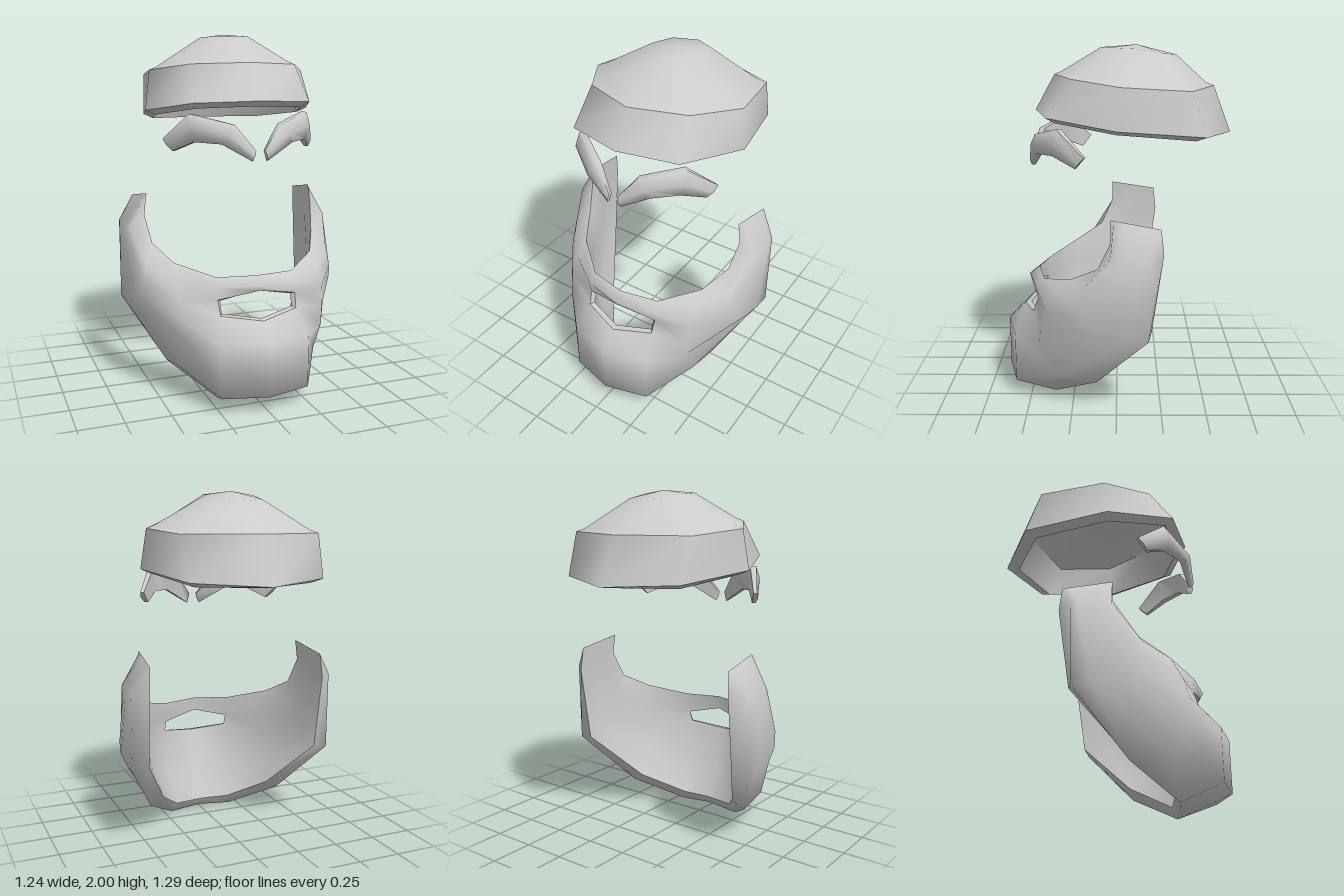
import * as THREE from 'three';
import { toCreasedNormals } from 'three/addons/utils/BufferGeometryUtils.js';

const material = new THREE.MeshStandardMaterial({ color: 0xcccccc });
const V = (p) => new THREE.Vector3(...p);
const SMOOTH = Math.PI;

// Quads between successive closed sections; keep(k, j) chooses which are made
function loft(sections, keep = () => true) {
  const quads = [];
  for (let k = 0; k < sections.length - 1; k++) {
    const s = sections[k], t = sections[k + 1], n = s.length;
    for (let j = 0; j < n; j++) {
      const m = (j + 1) % n;
      if (keep(k, j)) quads.push([s[j], s[m], t[m], t[j]]);
    }
  }
  return quads;
}

// Polygons of the x > 0 half, repeated with reversed winding on the other side
const mirror = (polys) =>
  polys.map((poly) => poly.map(([x, y, z]) => [-x, y, z]).reverse());

function toMesh(name, polys, crease) {
  const pos = [];
  for (const poly of polys) {
    for (let i = 1; i < poly.length - 1; i++) {
      const [a, b, c] = [poly[0], poly[i], poly[i + 1]];
      const area = V(b).sub(V(a)).cross(V(c).sub(V(a))).length();
      if (area > 1e-7) pos.push(...a, ...b, ...c);
    }
  }
  const geo = new THREE.BufferGeometry();
  geo.setAttribute('position', new THREE.Float32BufferAttribute(pos, 3));
  const mesh = new THREE.Mesh(toCreasedNormals(geo, crease), material);
  mesh.name = name;
  return mesh;
}

function toGroup(name, meshes) {
  const group = new THREE.Group();
  group.name = name;
  return group.add(...meshes);
}

// Cap: eight-sided band, domed crown and hollow underside.
// Each half ring runs from the front round to the back.
function makeCap() {
  const ring = (half) => [
    ...half.map(([x, y, z]) => [-x, y, z]),
    ...half.slice(1, -1).reverse(),
  ];
  const shrink = (half, s, dy) =>
    half.map(([x, y, z]) => [x * s, y + dy, -0.09 + (z + 0.09) * s]);
  const point = (y) => Array.from({ length: 8 }, () => [0, y, -0.11]);

  const top = [[0, 1.838, 0.35], [0.3, 1.83, 0.24], [0.46, 1.8, -0.02], [0.4, 1.775, -0.39], [0, 1.775, -0.545]];
  const low = [[0, 1.64, 0.46], [0.33, 1.63, 0.375], [0.49, 1.58, 0], [0.385, 1.535, -0.475], [0, 1.515, -0.645]];
  const dome = [[0, 1.985, 0.09], [0.1, 1.985, 0.04], [0.14, 1.98, -0.1], [0.12, 1.955, -0.26], [0, 1.945, -0.33]];
  const innerLow = [[0, 1.61, 0.41], [0.3, 1.6, 0.33], [0.43, 1.555, 0], [0.34, 1.51, -0.42], [0, 1.505, -0.57]];
  const innerTop = ring(shrink(top, 0.87, -0.07));

  return toGroup('cap', [
    toMesh('crown', loft([point(2), ring(dome), ring(shrink(top, 0.9, 0.018)), ring(top)]), SMOOTH),
    toMesh('band', loft([ring(top), ring(low)]), SMOOTH),
    toMesh('rim', loft([ring(low), ring(innerLow)]), SMOOTH),
    toMesh('bandLining', loft([ring(innerLow), innerTop]), SMOOTH),
    toMesh('crownLining', loft([innerTop, ring(shrink(dome, 0.9, -0.07)), point(1.93)]), SMOOTH),
  ]);
}

// Eyebrow: arched strip with a softly rounded front
function browPolys() {
  const stations = [
    [[0.025, 1.385, 0.49], [0.042, 1.33, 0.485]],
    [[0.13, 1.518, 0.455], [0.2, 1.42, 0.445]],
    [[0.34, 1.572, 0.32], [0.32, 1.427, 0.345]],
    [[0.44, 1.435, 0.17], [0.4, 1.372, 0.22]],
  ];
  const sections = stations.map(([top, low], i) => {
    const t = V(top), l = V(low);
    const out = new THREE.Vector3(t.x, 0, t.z).normalize();
    const end = i % 3 === 0;
    const mid = t.clone().lerp(l, 0.5).addScaledVector(out, end ? 0.01 : 0.025);
    const back = (p) => p.clone().addScaledVector(out, end ? -0.02 : -0.035);
    return [t, mid, l, back(l), back(t)].map((p) => p.toArray());
  });
  return [...loft(sections), [...sections[0]].reverse(), sections[3]];
}

// Beard: each section runs down the outside, then back up the inside to the top edge.
// Rows: 0 top edge, 1 moustache, 2 hole top, 3 hole bottom, 4 chin, 5 jaw, 6 low edge,
// 7 inner low edge, 8 inner jaw, 9 inner hole bottom, 10 inner hole top
function makeBeard() {
  const centre = [[0, 0.71, 0.46], [0, 0.665, 0.52], [0, 0.635, 0.5], [0, 0.48, 0.55], [0, 0.385, 0.65], [0, 0.09, 0.65],
    [0, 0.015, 0.37], [0, 0.065, 0.34], [0, 0.25, 0.43], [0, 0.485, 0.515], [0, 0.63, 0.465]];
  const lipCorner = [[0.22, 0.705, 0.41], [0.23, 0.66, 0.46], [0.225, 0.59, 0.45], [0.22, 0.51, 0.48], [0.25, 0.38, 0.585], [0.25, 0.09, 0.585],
    [0.2, 0, 0.36], [0.175, 0.06, 0.33], [0.2, 0.25, 0.38], [0.205, 0.515, 0.455], [0.205, 0.58, 0.43]];
  const cheek = [[0.41, 0.765, 0.25], [0.425, 0.7, 0.33], [0.42, 0.59, 0.39], [0.41, 0.49, 0.42], [0.4, 0.38, 0.43], [0.41, 0.2, 0.32],
    [0.42, 0.16, 0.11], [0.345, 0.21, 0.095], [0.36, 0.32, 0.2], [0.37, 0.5, 0.28], [0.37, 0.62, 0.27]];
  const jaw = [[0.49, 0.85, 0.1], [0.55, 0.75, 0.18], [0.565, 0.65, 0.2], [0.595, 0.57, 0.14], [0.61, 0.52, 0.06], [0.615, 0.495, -0.07],
    [0.615, 0.485, -0.17], [0.52, 0.505, -0.19], [0.51, 0.55, -0.08], [0.495, 0.62, 0.02], [0.48, 0.72, 0.06]];
  const sideburn = [[0.515, 1, 0.03], [0.6, 0.94, 0.03], [0.615, 0.93, 0], [0.62, 0.93, -0.05], [0.62, 0.93, -0.1], [0.62, 0.93, -0.14],
    [0.615, 0.94, -0.18], [0.53, 0.94, -0.25], [0.52, 0.95, -0.17], [0.515, 0.97, -0.1], [0.51, 0.98, -0.04]];
  // Sharp upper end where outside and inside meet
  const tip = [0, 0.06, 0.25, 0.45, 0.65, 0.85, 1, 1, 0.75, 0.5, 0.25].map((f) =>
    V([0.5, 1.12, 0.03]).lerp(V([0.52, 1.075, -0.235]), f).toArray());

  const sections = [centre, lipCorner, cheek, jaw, sideburn, tip];
  const both = (polys) => [...polys, ...mirror(polys)];
  const isHole = (k, j) => k === 0 && (j === 2 || j === 9);
  const outside = loft(sections, (k, j) => j < 7 && !isHole(k, j));
  const inside = loft(sections, (k, j) => j >= 7 && !isHole(k, j));
  const a = centre, b = lipCorner;
  const mouth = [[a[2], a[10], b[10], b[2]], [a[3], b[3], b[9], a[9]], [b[2], b[10], b[9], b[3]]];

  return toGroup('beard', [
    toMesh('beardOutside', both(outside), SMOOTH),
    toMesh('beardInside', both(inside), SMOOTH),
    toMesh('mouthOpening', both(mouth), 0.7),
  ]);
}

export function createModel() {
  const group = new THREE.Group();
  const brow = browPolys();
  group.add(makeCap(), makeBeard(),
    toMesh('leftEyebrow', brow, 1.3), toMesh('rightEyebrow', mirror(brow), 1.3));
  return group;
}
